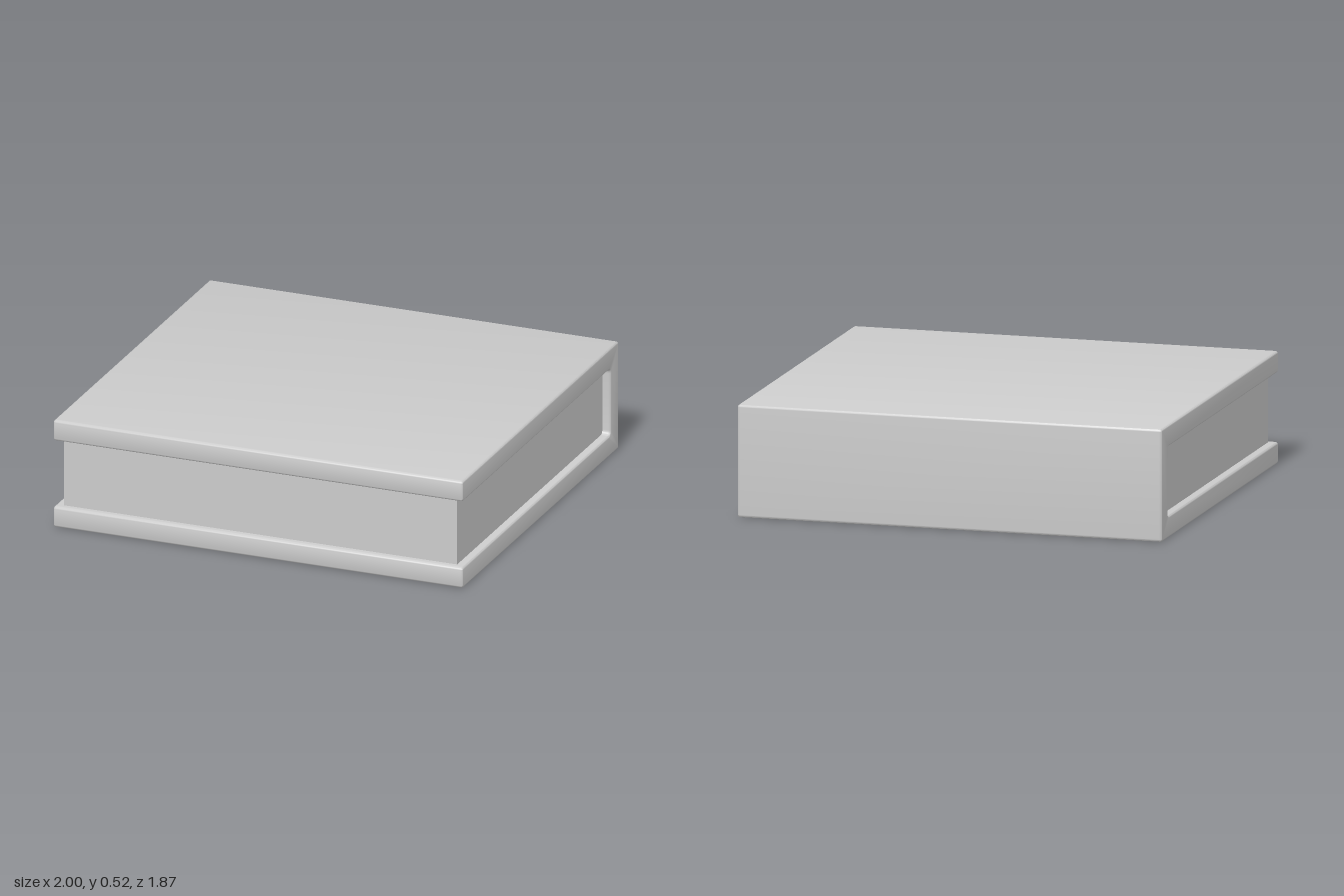
import * as THREE from 'three';
import { toCreasedNormals } from 'three/addons/utils/BufferGeometryUtils.js';

// Closed outline from [x, y, cornerRadius] points
function roundedOutline(points) {
  const shape = new THREE.Shape();
  const n = points.length;
  points.forEach(([x, y, r], i) => {
    const corner = new THREE.Vector2(x, y);
    const toward = ([px, py]) =>
      new THREE.Vector2(px - x, py - y).normalize().multiplyScalar(r).add(corner);
    const a = toward(points[(i + n - 1) % n]);
    const b = toward(points[(i + 1) % n]);
    if (i === 0) shape.moveTo(a.x, a.y);
    else shape.lineTo(a.x, a.y);
    shape.quadraticCurveTo(x, y, b.x, b.y);
  });
  shape.closePath();
  return shape;
}

export function createModel() {
  const group = new THREE.Group();
  group.name = 'book';
  const grey = new THREE.MeshStandardMaterial({ color: 0xcccccc });
  grey.name = 'light grey';

  const width = 2, depth = 1.87, height = 0.52, board = 0.1, bevel = 0.01;
  const front = -depth / 2, back = depth / 2; // outline x runs from the front to the spine

  // Cover: both boards and the spine as one C-shaped profile, swept across the width
  const profile = roundedOutline([
    [front, 0, 0.018], [back, 0, 0.012], [back, height, 0.012], [front, height, 0.018],
    [front, height - board, 0.018], [back - board, height - board, 0.022],
    [back - board, board, 0.022], [front, board, 0.018],
  ]);
  const coverGeometry = new THREE.ExtrudeGeometry(profile, {
    depth: width - 2 * bevel, curveSegments: 5,
    bevelEnabled: true, bevelSize: bevel, bevelThickness: bevel,
    bevelOffset: -bevel, bevelSegments: 3,
  });
  coverGeometry.translate(0, 0, bevel - width / 2);
  coverGeometry.rotateY(Math.PI / 2);
  const cover = new THREE.Mesh(toCreasedNormals(coverGeometry, 0.7), grey);
  cover.name = 'cover';
  group.add(cover);

  // Pages: block set in from the cover edges, tucked into the boards and spine
  const pageFront = 0.9, pageBack = -0.85;
  const pages = new THREE.Mesh(
    new THREE.BoxGeometry(1.92, height - 2 * board + 0.02, pageFront - pageBack), grey);
  pages.name = 'pages';
  pages.position.set(0, height / 2, (pageFront + pageBack) / 2);
  group.add(pages);

  return group;
}
